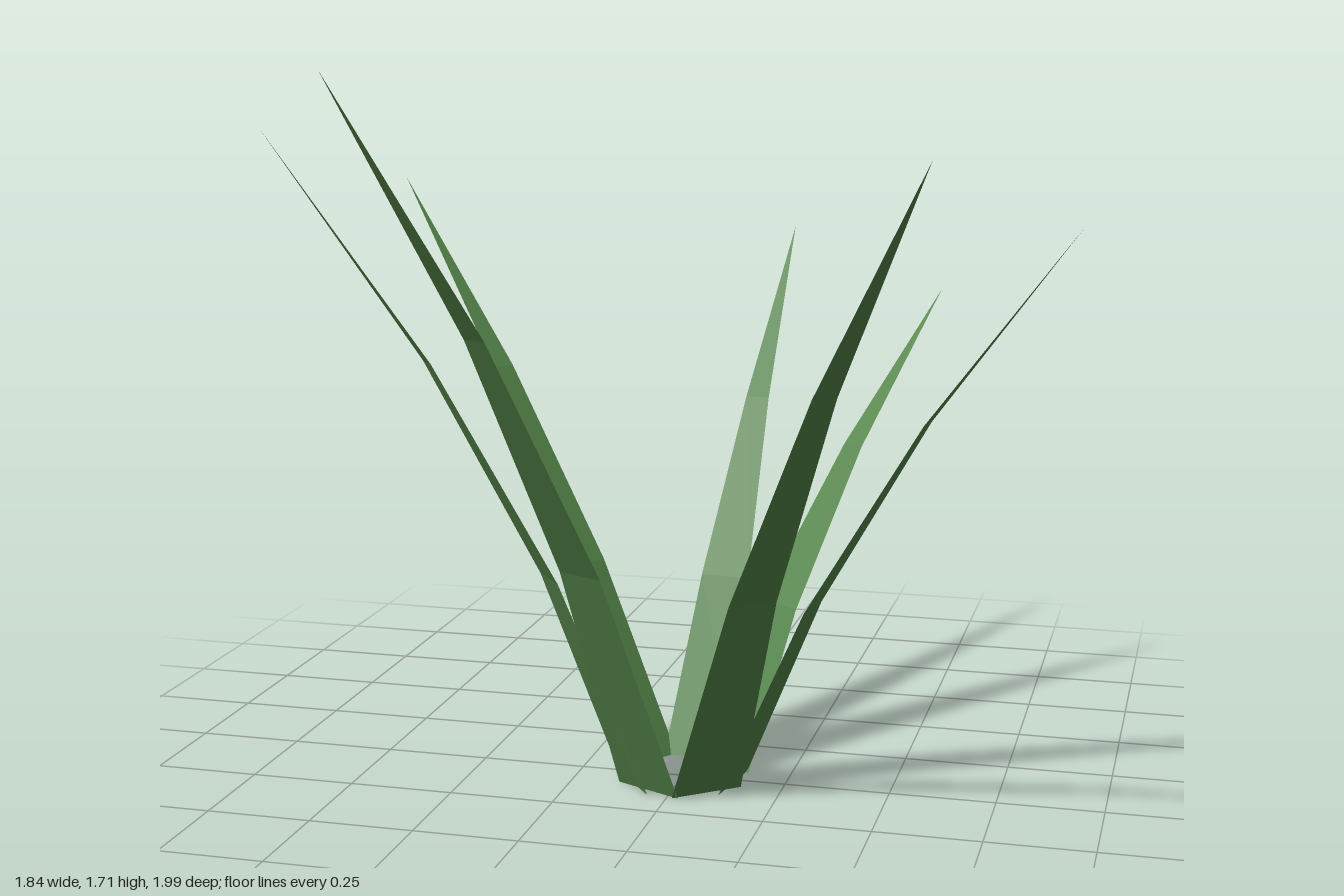
import * as THREE from 'three';

const SEGMENTS = 3;
const BASE_RADIUS = 0.13;
const BASE_HALF_WIDTH = 0.09;

// Tip of each blade: x, y, z
const TIPS = [
  [-0.46, 1.71, 0.99],
  [0.69, 1.55, 0.84],
  [0.92, 1.36, 0.15],
  [0.50, 1.10, -0.72],
  [0.06, 1.22, -1.00],
  [-0.92, 1.36, -0.64],
  [-0.77, 1.57, 0.59],
];

// A flat tapering ribbon that leans further outward as it rises
function bladeGeometry([x, y, z]) {
  const reach = Math.hypot(x, z);
  const dx = x / reach, dz = z / reach;
  const positions = [], index = [];
  for (let i = 0; i < SEGMENTS; i++) {
    const t = i / SEGMENTS;
    const r = BASE_RADIUS + (reach - BASE_RADIUS) * (0.6 * t + 0.4 * t * t);
    const w = BASE_HALF_WIDTH * (1 - t);
    for (const s of [-1, 1]) positions.push(dx * r + s * w * dz, y * t, dz * r - s * w * dx);
    const a = 2 * i;
    if (i < SEGMENTS - 1) index.push(a, a + 1, a + 3, a, a + 3, a + 2);
    else index.push(a, a + 1, a + 2);
  }
  positions.push(x, y, z);
  const geometry = new THREE.BufferGeometry();
  geometry.setAttribute('position', new THREE.Float32BufferAttribute(positions, 3));
  geometry.setIndex(index);
  const flat = geometry.toNonIndexed();
  flat.computeVertexNormals();
  return flat;
}

export function createModel() {
  const group = new THREE.Group();
  group.name = 'grassTuft';
  const leafGreen = new THREE.MeshStandardMaterial({
    color: 0x55854a, flatShading: true, side: THREE.DoubleSide,
  });
  leafGreen.name = 'leafGreen';

  // Ring of blades
  TIPS.forEach((tip, i) => {
    const blade = new THREE.Mesh(bladeGeometry(tip), leafGreen);
    blade.name = `blade${i + 1}`;
    group.add(blade);
  });
  return group;
}
